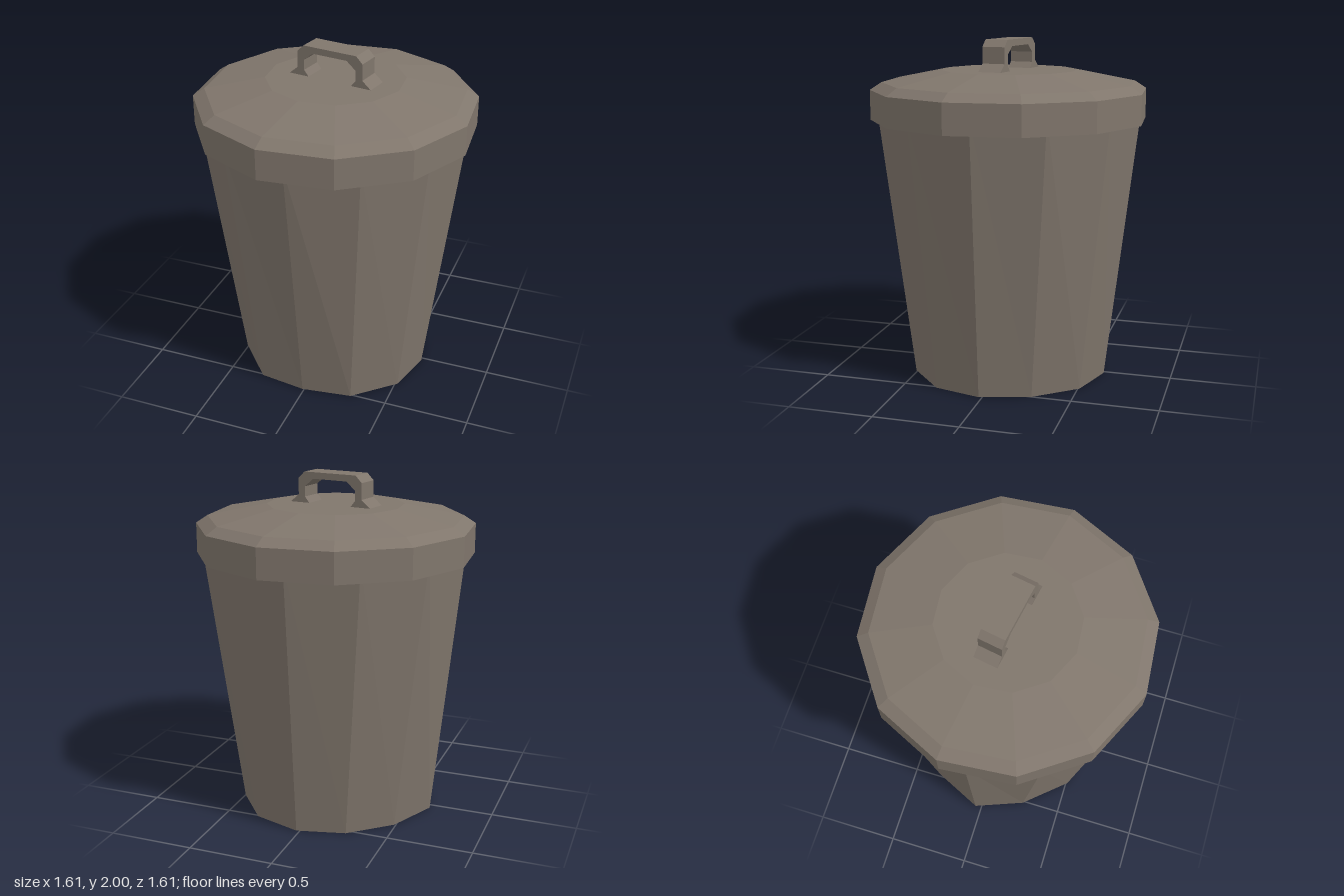
import * as THREE from 'three';

const SIDES = 12;
const TILT = THREE.MathUtils.degToRad(10);

// Tapered twelve-sided bin with a slightly battered base
function binGeometry() {
  const base = [
    [0.585, 0.02], [0.515, 0.30], [0.285, 0.51], [-0.01, 0.55],
    [-0.29, 0.51], [-0.51, 0.26], [-0.625, -0.04], [-0.49, -0.33],
    [-0.26, -0.53], [0.02, -0.60], [0.305, -0.51], [0.50, -0.27],
  ];
  const topY = 1.62, topR = 0.785;
  const pos = [];
  base.forEach(([x, z], i) => {
    const a = (i / SIDES) * Math.PI * 2;
    pos.push(x, 0, z, topR * Math.cos(a), topY, topR * Math.sin(a));
  });
  pos.push(0, 0, 0, 0, topY, 0);
  const index = [];
  for (let i = 0; i < SIDES; i++) {
    const b = i * 2, t = b + 1;
    const b2 = ((i + 1) % SIDES) * 2, t2 = b2 + 1;
    index.push(b, t, t2, b, t2, b2);
    index.push(SIDES * 2, b, b2, SIDES * 2 + 1, t2, t);
  }
  const geo = new THREE.BufferGeometry();
  geo.setAttribute('position', new THREE.Float32BufferAttribute(pos, 3));
  geo.setIndex(index);
  geo.computeVertexNormals();
  return geo;
}

// Hollow faceted lid: rim, bevel, slope and flat crown
function lidGeometry() {
  const profile = [[0.818, 1.53], [0.818, 1.705], [0.75, 1.75], [0.402, 1.82], [0, 1.82]];
  return new THREE.LatheGeometry(
    profile.map(([r, y]) => new THREE.Vector2(r, y)),
    SIDES, Math.PI / 2 - TILT, Math.PI * 2);
}

// Strap handle with chamfered corners and flared feet
function handleGeometry() {
  const outer = [[0.27, 1.815], [0.21, 1.865], [0.21, 1.96], [0.17, 2.0]];
  const inner = [[0.11, 1.962], [0.167, 1.915], [0.167, 1.855], [0.135, 1.815]];
  const half = [...outer, ...inner];
  const mirror = (pts) => pts.map(([x, y]) => [-x, y]).reverse();
  const outline = [...outer, ...mirror(half.slice(0, 4)), ...mirror(inner), ...inner]
    .map(([x, y]) => new THREE.Vector2(x, y));
  // Arrange the inner edge from the left foot over to the right foot
  const left = inner.map(([x, y]) => new THREE.Vector2(-x, y)).reverse();
  const right = inner.map(([x, y]) => new THREE.Vector2(x, y));
  const path = [...outline.slice(0, 8), ...left, ...right];
  const geo = new THREE.ExtrudeGeometry(new THREE.Shape(path), { depth: 0.14, bevelEnabled: false });
  geo.translate(0, 0, -0.07);
  return geo;
}

export function createModel() {
  const metal = new THREE.MeshStandardMaterial({
    color: 0x80766c, flatShading: true, side: THREE.DoubleSide,
  });
  metal.name = 'dull metal';

  const model = new THREE.Group();
  model.name = 'dustbin';
  const add = (name, geometry) => {
    const mesh = new THREE.Mesh(geometry, metal);
    mesh.name = name;
    model.add(mesh);
    return mesh;
  };

  add('bin', binGeometry());
  add('lid', lidGeometry());
  add('handle', handleGeometry()).rotation.y = -TILT;
  return model;
}
